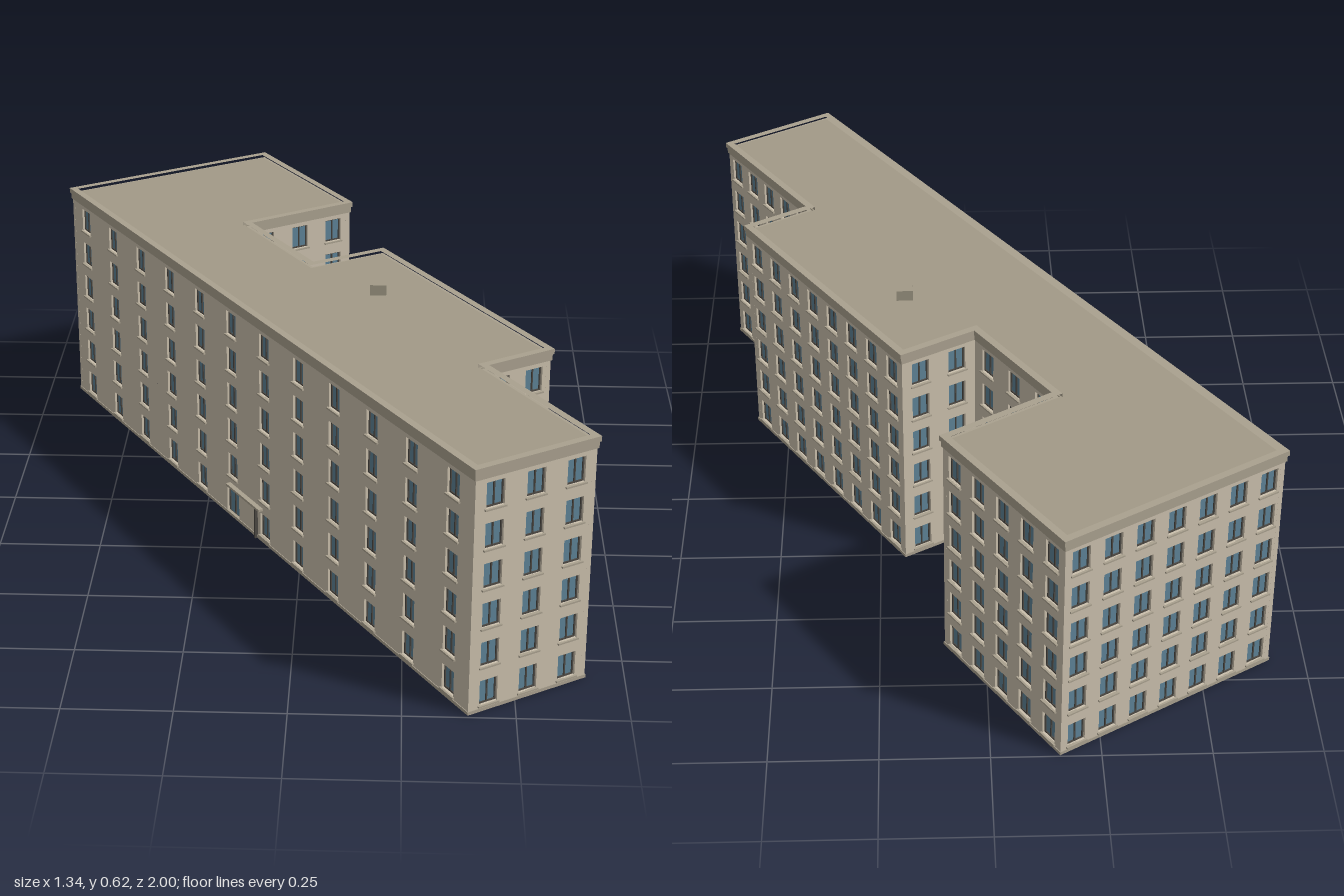
import * as THREE from 'three';
import { mergeGeometries } from 'three/addons/utils/BufferGeometryUtils.js';

// Footprint corners (x, z) and the number of window columns on the wall that starts there
const PLAN = [
  [-0.665, -0.68, 12], [0.395, 0.99, 3], [0.66, 0.822, 5], [0.43, 0.46, 2], [0.585, 0.362, 8],
  [0.188, -0.258, 2], [0.012, -0.153, 3], [-0.165, -0.435, 3], [0.096, -0.602, 5], [-0.157, -0.994, 7],
];
const FLOORS = 6, PITCH = 0.097, SILL_Y = 0.015, WIN_W = 0.047, WIN_H = 0.062;
const WALL_TOP = 0.58, THICK = 0.012, DOOR_W = 0.062, DOOR_H = 0.076;

const material = (color, side = THREE.FrontSide) => new THREE.MeshStandardMaterial({ color, side });
const MAT = {
  wall: material(0xcabfac), trim: material(0xaaa18f), roof: material(0xa29a87),
  frame: material(0x4b4843), glass: material(0x5d8296, THREE.DoubleSide), grey: material(0xcccccc),
};

function add(parent, name, geometry, mat) {
  const mesh = new THREE.Mesh(geometry, mat);
  mesh.name = name;
  parent.add(mesh);
  return mesh;
}

function rectPath(x, y, w, h, Type = THREE.Path) {
  const p = new Type();
  p.moveTo(x, y).lineTo(x + w, y).lineTo(x + w, y + h).lineTo(x, y + h).closePath();
  return p;
}

const extrude = (shape, depth) => new THREE.ExtrudeGeometry(shape, { depth, bevelEnabled: false });
const box = (w, h, d, x, y, z) => new THREE.BoxGeometry(w, h, d).translate(x, y, z);

// Footprint moved outwards by d
function outline(d) {
  const n = PLAN.length;
  const normal = (i) => {
    const a = PLAN[i % n], b = PLAN[(i + 1) % n];
    return new THREE.Vector2(a[1] - b[1], b[0] - a[0]).normalize();
  };
  return PLAN.map(([x, z], i) =>
    new THREE.Vector2(x, z).addScaledVector(normal(i), d).addScaledVector(normal(i + n - 1), d));
}

// Horizontal slab or ring following the footprint
function slab(outer, inner, y0, y1) {
  const shape = new THREE.Shape(outline(outer));
  if (inner !== null) shape.holes.push(new THREE.Path(outline(inner)));
  return extrude(shape, y1 - y0).rotateX(Math.PI / 2).translate(0, y1, 0);
}

// Two-leaf casement frame, lower left corner at the origin
function casement(w, h) {
  const t = 0.0035, shape = rectPath(0, 0, w, h, THREE.Shape);
  const leaf = (w - 3 * t) / 2;
  for (const x of [t, 2 * t + leaf]) shape.holes.push(rectPath(x, t, leaf, h - 2 * t));
  return extrude(shape, 0.004);
}

// Wall in its own frame: x along the wall, z outwards
function buildWall(index) {
  const [x0, z0, columns] = PLAN[index];
  const [x1, z1] = PLAN[(index + 1) % PLAN.length];
  const length = Math.hypot(x1 - x0, z1 - z0);
  const group = new THREE.Group();
  group.name = 'facade' + (index + 1);
  group.position.set(x0, 0, z0);
  group.rotation.y = Math.atan2(z0 - z1, x1 - x0);

  const shape = rectPath(0, 0, length, WALL_TOP, THREE.Shape);
  const frames = [], panes = [], sills = [];
  for (let c = 0; c < columns; c++) {
    const cx = (c + 0.5) * length / columns;
    for (let f = 0; f < FLOORS; f++) {
      const isDoor = index === 0 && c === 5 && f === 0;
      const w = isDoor ? DOOR_W : WIN_W, h = isDoor ? DOOR_H : WIN_H;
      const y = isDoor ? 0.003 : SILL_Y + f * PITCH;
      shape.holes.push(rectPath(cx - w / 2, y, w, h));
      frames.push(casement(w, h).translate(cx - w / 2, y, -0.010));
      panes.push(new THREE.PlaneGeometry(w, h).translate(cx, y + h / 2, -0.009));
      if (!isDoor) sills.push(box(w + 0.008, 0.004, 0.008, cx, y - 0.002, 0.001));
    }
  }
  add(group, 'wall', extrude(shape, THICK).translate(0, 0, -THICK), MAT.wall);
  add(group, 'windowFrames', mergeGeometries(frames), MAT.frame);
  add(group, 'windowPanes', mergeGeometries(panes), MAT.glass);
  add(group, 'windowSills', mergeGeometries(sills), MAT.trim);

  // Entrance canopy and its side post
  if (index === 0) {
    const doorX = 5.5 * length / columns;
    add(group, 'entranceCanopy', box(0.17, 0.006, 0.026, doorX + 0.07, 0.09, 0), MAT.trim);
    add(group, 'entrancePost', box(0.005, 0.088, 0.008, doorX + 0.125, 0.044, 0.004), MAT.frame);
  }
  return group;
}

export function createModel() {
  const model = new THREE.Group();
  model.name = 'apartmentBlock';
  PLAN.forEach((_, i) => model.add(buildWall(i)));

  // Plinth, cornice, parapet and flat roof
  add(model, 'plinth', slab(0.002, -0.006, 0, 0.008), MAT.trim);
  add(model, 'cornice', slab(0.003, -0.012, 0.574, 0.59), MAT.trim);
  add(model, 'parapet', slab(0.006, -0.012, 0.59, 0.603), MAT.trim);
  add(model, 'roof', slab(-0.008, null, 0.58, 0.593), MAT.roof);

  // Roof vent
  add(model, 'roofVent', box(0.04, 0.03, 0.035, 0.18, 0.605, 0.015), MAT.roof);
  return model;
}
